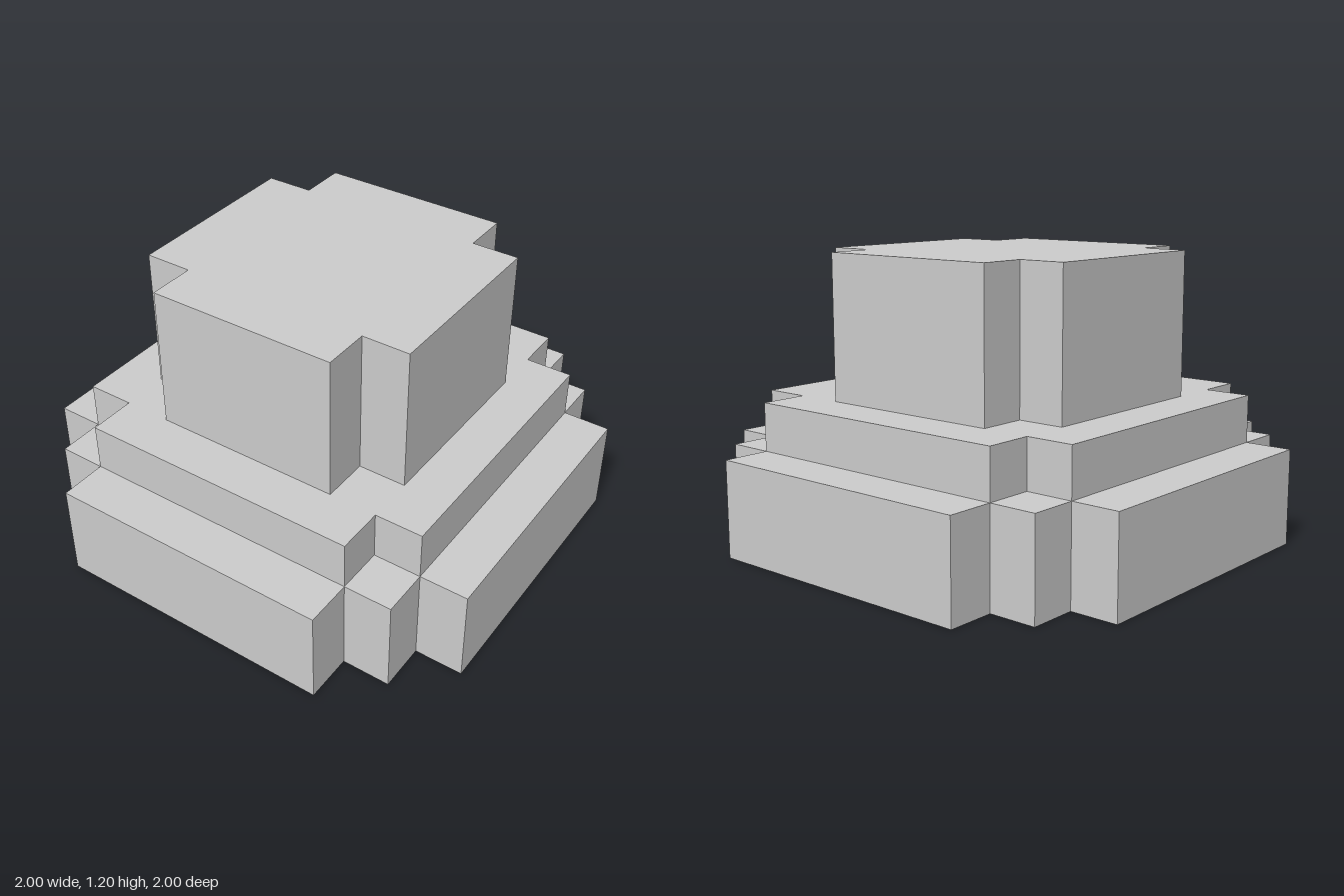
import * as THREE from 'three';

const material = new THREE.MeshStandardMaterial({ color: 0xcccccc, flatShading: true });

// A tier with stepped corners: one corner's points (counter-clockwise), mirrored to all four
function tier(name, corner, y, height) {
  const flip = (sx, sz) => corner.map(([x, z]) => new THREE.Vector2(x * sx, z * sz));
  const outline = [
    ...flip(1, 1),
    ...flip(-1, 1).reverse(),
    ...flip(-1, -1),
    ...flip(1, -1).reverse(),
  ];
  const geometry = new THREE.ExtrudeGeometry(new THREE.Shape(outline), {
    depth: height,
    bevelEnabled: false,
  });
  geometry.rotateX(-Math.PI / 2);
  const mesh = new THREE.Mesh(geometry, material);
  mesh.name = name;
  mesh.position.y = y;
  return mesh;
}

export function createModel() {
  const model = new THREE.Group();
  model.name = 'steppedPedestal';
  model.add(
    // Wide base with double-stepped corners
    tier('baseTier', [[1, 0.6], [0.8, 0.6], [0.8, 0.8], [0.6, 0.8], [0.6, 1]], 0, 0.4),
    // Thin middle step
    tier('middleTier', [[0.8, 0.6], [0.6, 0.6], [0.6, 0.8]], 0.4, 0.2),
    // Tall upper block
    tier('topTier', [[0.6, 0.4], [0.4, 0.4], [0.4, 0.6]], 0.6, 0.6),
  );
  return model;
}
